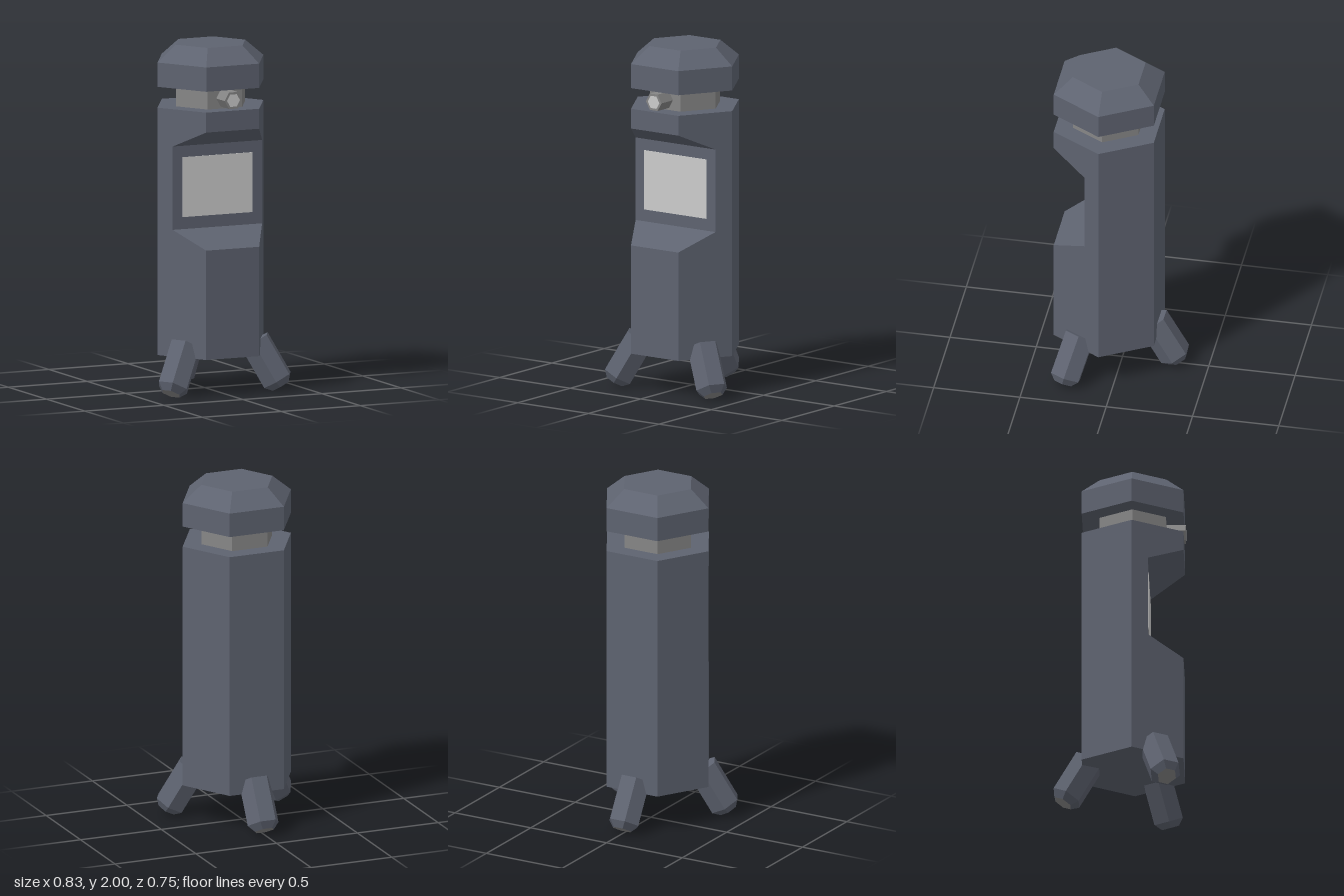
import * as THREE from 'three';

const R = 0.335;           // hexagon corner radius of body and head
const CZ = 0.077;          // z of the central axis
const FRONT = 0.29;        // front face distance from the axis
const RECESS = 0.09;       // recessed face distance from the axis

const mat = (color) => new THREE.MeshStandardMaterial({ color, flatShading: true });

function add(parent, name, geometry, material, x = 0, y = 0, z = 0) {
  const mesh = new THREE.Mesh(geometry, material);
  mesh.name = name;
  mesh.position.set(x, y, z);
  parent.add(mesh);
  return mesh;
}

// Upright hexagonal prism with flat faces to front and back, corners at +-x
function hex(rTop, rBottom, height, open = false) {
  return new THREE.CylinderGeometry(rTop, rBottom, height, 6, 1, open).rotateY(Math.PI / 6);
}

// Hexagon whose front is cut off at distance f from the axis, counter-clockwise from above
function section(y, f) {
  const w = R - f / Math.sqrt(3);
  return [[w, f], [R, 0], [R / 2, -FRONT], [-R / 2, -FRONT], [-R, 0], [-w, f]]
    .map(([x, z]) => [x, y, z]);
}

// Body lofted through sections; the front steps back around the screen
function bodyGeometry() {
  const rings = [
    [0.22, FRONT], [0.85, FRONT], [0.95, RECESS],
    [1.43, RECESS], [1.53, FRONT], [1.645, FRONT],
  ].map(([y, f]) => section(y, f));
  const pos = [];
  const tri = (a, b, c) => pos.push(...a, ...b, ...c);
  for (let i = 0; i < rings.length - 1; i++) {
    const lo = rings[i], hi = rings[i + 1];
    for (let j = 0; j < 6; j++) {
      const k = (j + 1) % 6;
      tri(lo[j], lo[k], hi[k]);
      tri(lo[j], hi[k], hi[j]);
    }
  }
  const bottom = rings[0], top = rings[rings.length - 1];
  for (let j = 1; j < 5; j++) {
    tri(top[0], top[j], top[j + 1]);
    tri(bottom[0], bottom[j + 1], bottom[j]);
  }
  const g = new THREE.BufferGeometry();
  g.setAttribute('position', new THREE.Float32BufferAttribute(pos, 3));
  g.computeVertexNormals();
  return g;
}

export function createModel() {
  const shell = mat(0x5e6370);
  const grey = mat(0x868686);
  const light = mat(0xcccccc);

  const model = new THREE.Group();
  model.name = 'kiosk';
  const core = new THREE.Group();
  core.name = 'core';
  core.position.z = CZ;
  model.add(core);

  add(core, 'body', bodyGeometry(), shell);
  add(core, 'screen', new THREE.BoxGeometry(0.44, 0.345, 0.01), light, 0, 1.192, RECESS - 0.002);

  // Neck and head
  add(core, 'neck', hex(0.218, 0.218, 0.12), grey, 0, 1.705, 0);
  add(core, 'headBand', hex(R, R, 0.14), shell, 0, 1.835, 0);
  add(core, 'headBevel', hex(0.22, R, 0.095), shell, 0, 1.9525, 0);

  // Hexagonal eye on the front of the neck
  const barrel = new THREE.CylinderGeometry(0.055, 0.055, 0.12, 6).rotateY(Math.PI / 6).rotateX(Math.PI / 2);
  add(core, 'eyeBarrel', barrel, grey, 0, 1.705, 0.239);
  add(core, 'eyeLens', new THREE.CircleGeometry(0.041, 6), light, 0, 1.705, 0.3005);

  // Three splayed legs, each with a bevelled tip and a foot pad
  for (let i = 0; i < 3; i++) {
    const turn = new THREE.Group();
    turn.name = ['backLeg', 'frontRightLeg', 'frontLeftLeg'][i];
    turn.rotation.y = i * Math.PI * 2 / 3;
    core.add(turn);
    const leg = new THREE.Group();
    leg.name = 'legTilt';
    leg.position.set(0, 0.284, -0.252);
    leg.rotation.x = Math.PI / 6;
    turn.add(leg);
    add(leg, 'legShaft', hex(0.095, 0.095, 0.26), shell, 0, -0.13, 0);
    add(leg, 'legTip', hex(0.095, 0.058, 0.039, true), shell, 0, -0.2795, 0);
    add(leg, 'footPad', new THREE.CircleGeometry(0.058, 6).rotateX(Math.PI / 2), grey, 0, -0.299, 0);
  }
  return model;
}
